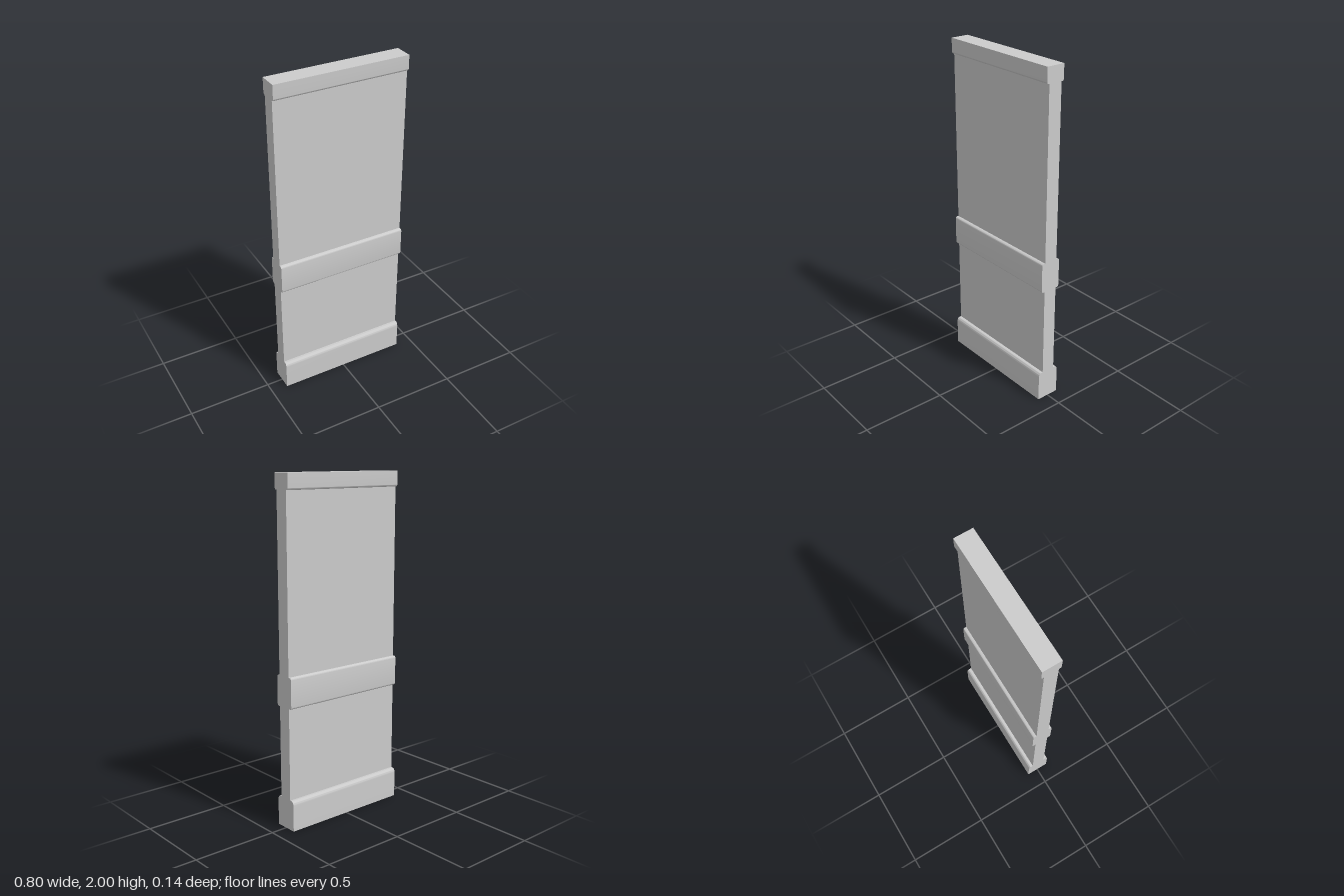
import * as THREE from 'three';
import { toCreasedNormals } from 'three/addons/utils/BufferGeometryUtils.js';

const WIDTH = 0.8;

export function createModel() {
  const group = new THREE.Group();
  group.name = 'wallPanel';
  const material = new THREE.MeshStandardMaterial({ color: 0xcccccc });

  // Bar along x whose cross-section spans y0..y1 and +-d in depth;
  // bottom and top are [depth, height] of the rounded edges.
  function addBar(name, y0, y1, d, bottom = [0, 0], top = [0, 0]) {
    const [bz, by] = bottom, [tz, ty] = top;
    const s = new THREE.Shape();
    s.moveTo(-d + bz, y0);
    s.lineTo(d - bz, y0);
    if (by) s.absellipse(d - bz, y0 + by, bz, by, -Math.PI / 2, 0, false);
    s.lineTo(d, y1 - ty);
    if (ty) s.absellipse(d - tz, y1 - ty, tz, ty, 0, Math.PI / 2, false);
    s.lineTo(-d + tz, y1);
    if (ty) s.absellipse(-d + tz, y1 - ty, tz, ty, Math.PI / 2, Math.PI, false);
    s.lineTo(-d, y0 + by);
    if (by) s.absellipse(-d + bz, y0 + by, bz, by, Math.PI, Math.PI * 1.5, false);
    s.closePath();

    const geometry = new THREE.ExtrudeGeometry(s, { depth: WIDTH, bevelEnabled: false, curveSegments: 8 });
    geometry.translate(0, 0, -WIDTH / 2);
    geometry.rotateY(Math.PI / 2);
    const mesh = new THREE.Mesh(toCreasedNormals(geometry, 0.6), material);
    mesh.name = name;
    group.add(mesh);
  }

  // Flat wall sections between the trims
  addBar('lowerPanel', 0.18, 0.72, 0.041);
  addBar('upperPanel', 0.9, 1.91, 0.041);

  // Trims, proud of the wall on both sides
  addBar('baseboard', 0, 0.18, 0.07, [0, 0], [0.016, 0.026]);
  addBar('chairRail', 0.72, 0.9, 0.062, [0.01, 0.014], [0.01, 0.014]);
  addBar('crownTrim', 1.91, 2, 0.056, [0.01, 0.012]);

  return group;
}
